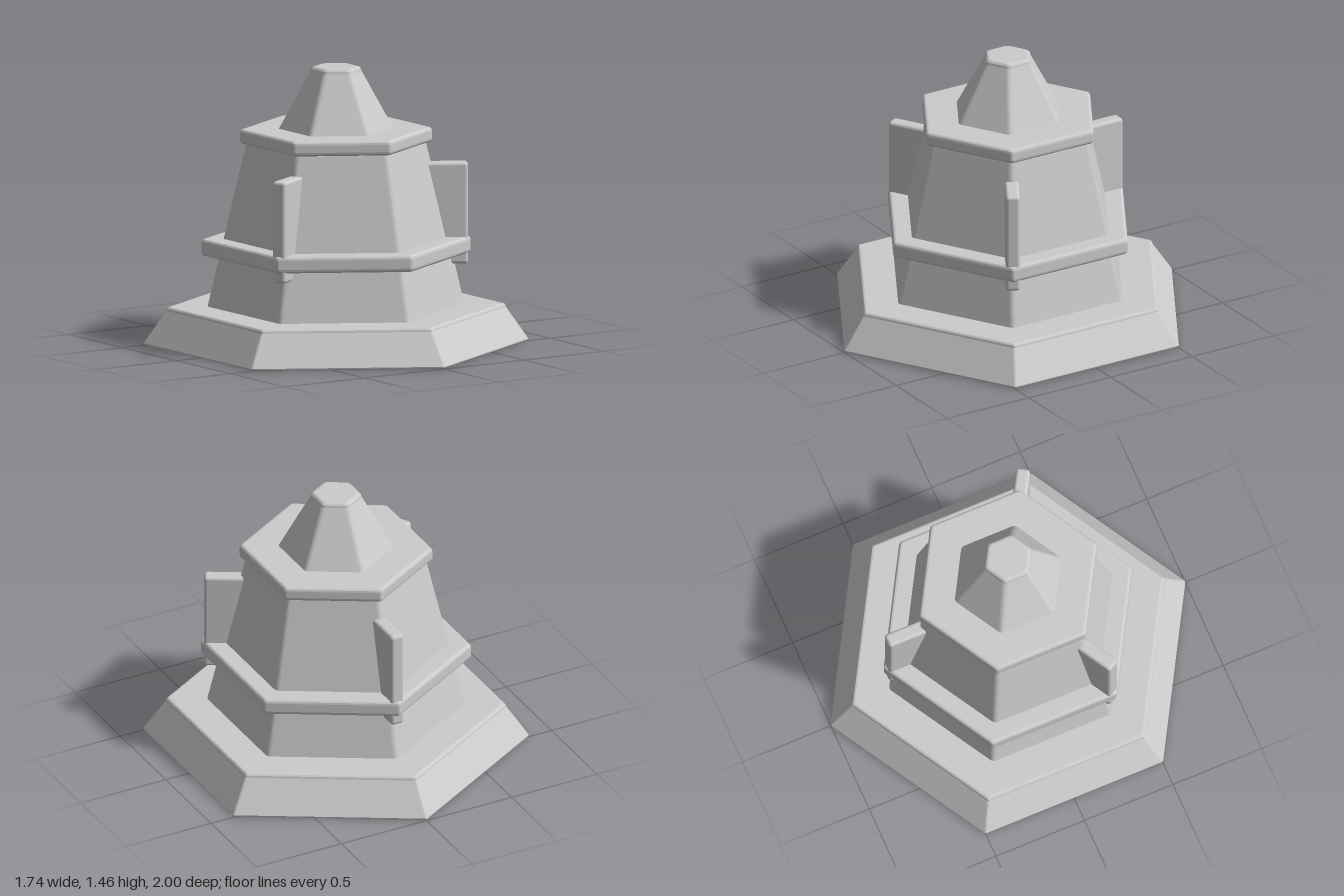
import * as THREE from 'three';
import { RoundedBoxGeometry } from 'three/addons/geometries/RoundedBoxGeometry.js';

const STEPS = 3; // facets per rounded edge

// Hexagon outline with softened corners, one corner pointing to +z
function hexLoop(r, y, fillet) {
  const pts = [];
  const inner = r - fillet / Math.cos(Math.PI / 6);
  for (let k = 0; k < 6; k++) {
    const a = k * Math.PI / 3;
    for (let s = 0; s <= STEPS; s++) {
      const t = a + (s / STEPS - 0.5) * Math.PI / 3;
      pts.push([
        Math.sin(a) * inner + Math.sin(t) * fillet,
        y,
        Math.cos(a) * inner + Math.cos(t) * fillet,
      ]);
    }
  }
  return pts;
}

// Tapered hexagonal block with rounded top and bottom rims
function hexBlock(y0, r0, y1, r1, bottomBevel, topBevel, fillet) {
  const loops = [];
  for (let s = 0; s <= STEPS; s++) {
    const a = (s / STEPS) * Math.PI / 2;
    loops.push(hexLoop(r0 - bottomBevel * (1 - Math.sin(a)), y0 + bottomBevel * (1 - Math.cos(a)), fillet));
  }
  for (let s = 0; s <= STEPS; s++) {
    const a = (s / STEPS) * Math.PI / 2;
    loops.push(hexLoop(r1 - topBevel * (1 - Math.cos(a)), y1 - topBevel * (1 - Math.sin(a)), fillet));
  }
  const n = loops[0].length;
  const index = [];
  for (let i = 0; i < loops.length - 1; i++) {
    for (let j = 0; j < n; j++) {
      const a = i * n + j, b = i * n + (j + 1) % n;
      index.push(a, b, b + n, a, b + n, a + n);
    }
  }
  // End caps
  const points = loops.flat();
  const low = points.push([0, y0, 0]) - 1;
  const high = points.push([0, y1, 0]) - 1;
  const last = (loops.length - 1) * n;
  for (let j = 0; j < n; j++) {
    const k = (j + 1) % n;
    index.push(low, k, j, high, last + j, last + k);
  }
  const indexed = new THREE.BufferGeometry();
  indexed.setAttribute('position', new THREE.Float32BufferAttribute(points.flat(), 3));
  indexed.setIndex(index);
  const geo = indexed.toNonIndexed();
  geo.computeVertexNormals();
  return geo;
}

export function createModel() {
  const model = new THREE.Group();
  model.name = 'hexagonalTower';
  const grey = new THREE.MeshStandardMaterial({ color: 0xcccccc });
  grey.name = 'light grey';

  const add = (name, geometry, parent = model) => {
    const mesh = new THREE.Mesh(geometry, grey);
    mesh.name = name;
    parent.add(mesh);
    return mesh;
  };

  // Stacked hexagonal tiers
  add('base', hexBlock(0, 1.002, 0.2, 0.885, 0.012, 0.02, 0.014));
  add('body', hexBlock(0.19, 0.672, 1.06, 0.475, 0.01, 0.02, 0.03));
  add('lowerRing', hexBlock(0.467, 0.703, 0.555, 0.703, 0.02, 0.02, 0.02));
  add('upperRing', hexBlock(1.052, 0.503, 1.13, 0.503, 0.02, 0.02, 0.02));
  add('cap', hexBlock(1.1, 0.312, 1.455, 0.137, 0.01, 0.025, 0.03));

  // Three upright fins on alternate corners
  for (let i = 0; i < 3; i++) {
    const arm = new THREE.Group();
    arm.name = 'finArm' + (i + 1);
    arm.rotation.y = Math.PI / 3 + i * Math.PI * 2 / 3;
    add('fin', new RoundedBoxGeometry(0.075, 0.535, 0.265, 3, 0.018), arm).position.set(0, 0.68, 0.5525);
    model.add(arm);
  }
  return model;
}
